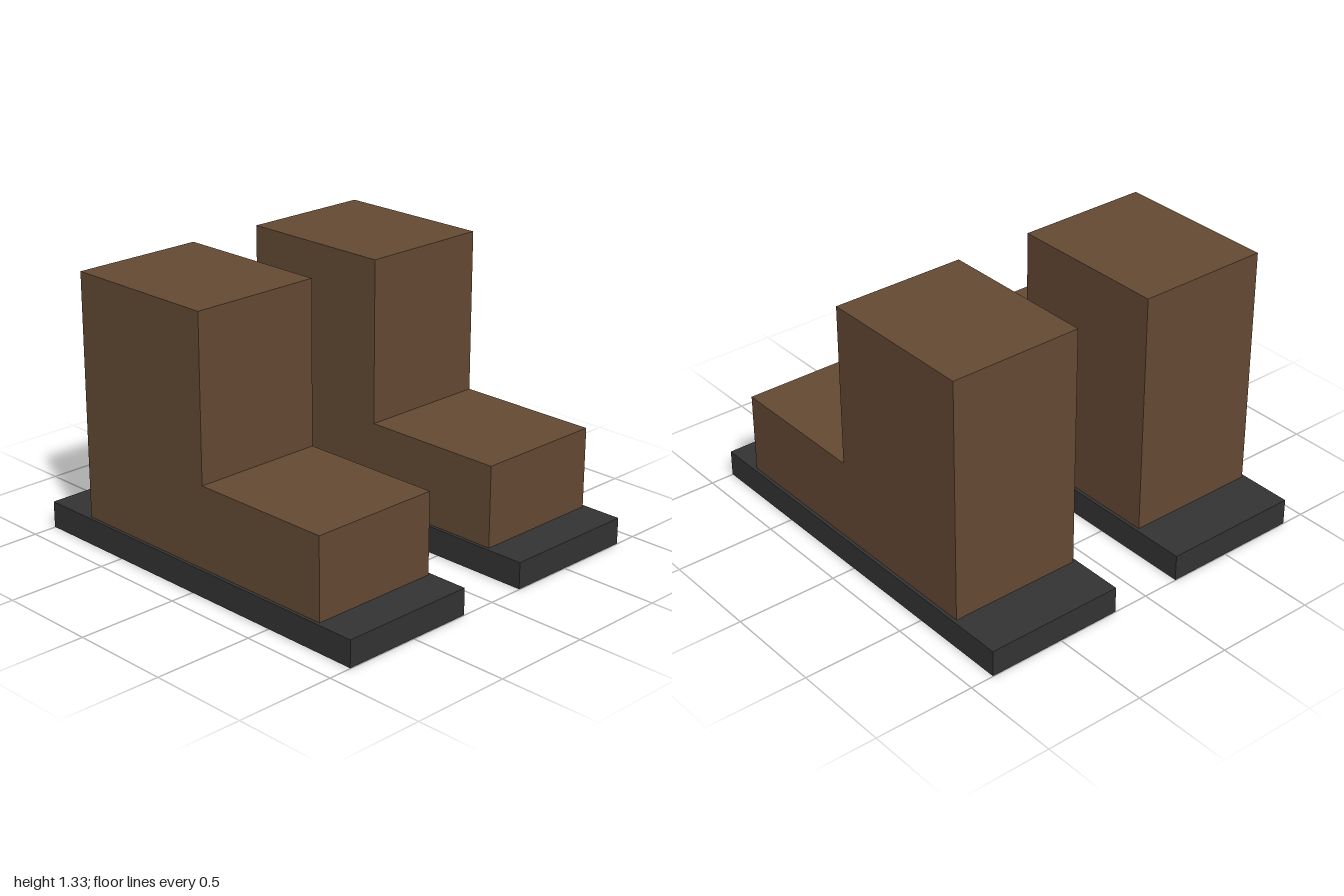
import * as THREE from 'three';

export function createModel() {
  const leather = new THREE.MeshStandardMaterial({ color: 0x654a34 });
  leather.name = 'brown leather';
  const rubber = new THREE.MeshStandardMaterial({ color: 0x343434 });
  rubber.name = 'dark rubber';

  // L-shaped side profile (z, y), extruded across the boot's width
  const width = 0.667;
  const profile = new THREE.Shape([
    [-0.733, 0], [0.8, 0], [0.8, 0.533], [0.067, 0.533], [0.067, 1.333], [-0.733, 1.333],
  ].map(([z, y]) => new THREE.Vector2(z, y)));
  const upperGeometry = new THREE.ExtrudeGeometry(profile, { depth: width, bevelEnabled: false });
  upperGeometry.translate(0, 0, -width / 2).rotateY(-Math.PI / 2);

  // Sole slab, a hair above the ground so the upper shows through its underside
  const soleGeometry = new THREE.BoxGeometry(0.7, 0.131, 2).translate(0, 0.0675, 0);

  const model = new THREE.Group();
  model.name = 'pairOfBoots';
  for (const [side, x] of [['left', 0.533], ['right', -0.533]]) {
    const boot = new THREE.Group();
    boot.name = side + 'Boot';
    boot.position.x = x;
    const upper = new THREE.Mesh(upperGeometry, leather);
    upper.name = side + 'Upper';
    const sole = new THREE.Mesh(soleGeometry, rubber);
    sole.name = side + 'Sole';
    boot.add(upper, sole);
    model.add(boot);
  }
  return model;
}
